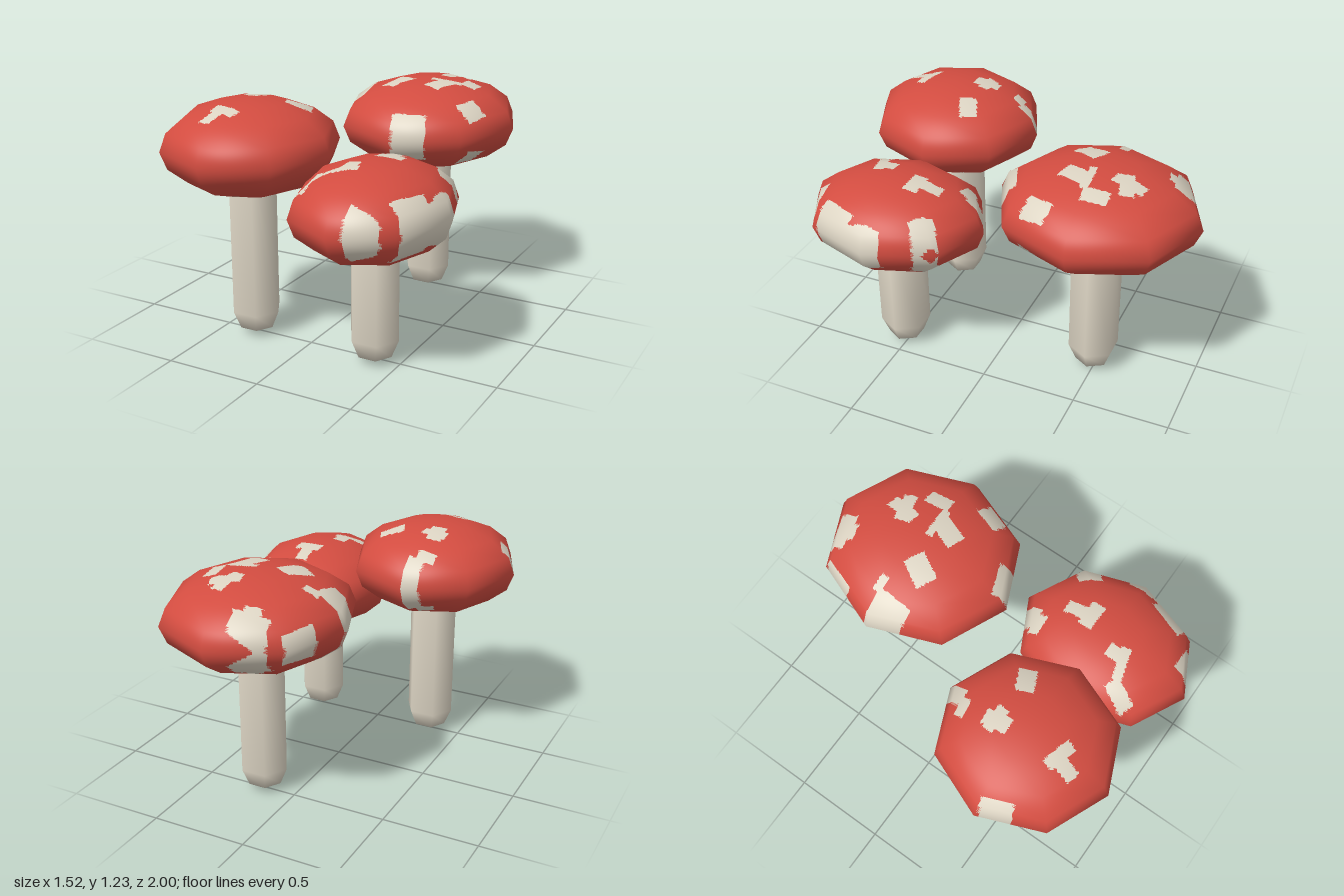
import * as THREE from 'three';

const red = new THREE.MeshStandardMaterial({ color: 0xd24c40 });
red.name = 'cap red';
const cream = new THREE.MeshStandardMaterial({ color: 0xdcd4c3 });
cream.name = 'cream';

// Spots are short strokes seen from above: x, z of both ends, then half the width
const tallSpots = [
  [-.36, 0, -.36, .16, .04], [-.45, .19, -.36, .18, .025],
  [-.44, .35, -.31, .36, .03], [-.385, .3, -.375, .43, .04],
  [-.19, .385, -.075, .335, .045],
  [-.42, .67, -.27, .71, .03], [-.36, .68, -.39, .8, .035],
  [-.737, .518, -.68, .663, .05],
];
const backSpots = [
  [-.08, -.845, .1, -.875, .05], [-.02, -.8, .06, -.82, .03],
  [-.17, -.84, -.235, -.66, .035],
  [-.31, -.41, -.14, -.41, .09], [-.16, -.51, -.08, -.505, .025],
  [0, -.32, .07, -.45, .055],
  [.19, -.62, .34, -.665, .035], [.265, -.73, .235, -.57, .035],
  [.39, -.6, .4, -.47, .04], [.2, -.458, .37, -.465, .02], [.25, -.325, .3, -.46, .05],
  [.48, -.22, .52, -.35, .045],
  [.185, 0, .345, -.06, .055],
];
const shortSpots = [
  [.255, 0, .255, .17, .05], [.18, .19, .28, .19, .028],
  [.375, .265, .38, .37, .035], [.32, .4, .46, .4, .037],
  [.575, .2, .65, .3, .05],
  [.74, .44, .74, .65, .05], [.695, .62, .62, .81, .045],
  [.29, .56, .29, .66, .035], [.19, .68, .345, .635, .025], [.115, .8, .17, .66, .037],
  [.505, .87, .505, 1, .075],
];

// Whether a point lies on a stroke with square ends
function onStroke([x1, z1, x2, z2, half], x, z) {
  const length = Math.hypot(x2 - x1, z2 - z1);
  const dx = (x2 - x1) / length, dz = (z2 - z1) / length;
  const along = (x - x1) * dx + (z - z1) * dz;
  const across = (x - x1) * dz - (z - z1) * dx;
  return along > 0 && along < length && Math.abs(across) < half;
}

// Low-poly ellipsoid whose flat faces are finely divided, so spots can be separate face groups
function capGeometry(centre, radii, spots, steps = 16) {
  const base = new THREE.SphereGeometry(1, 8, 8).scale(...radii).translate(...centre).toNonIndexed();
  const { position, normal } = base.attributes;
  const positions = [], normals = [], plain = [], spotted = [];
  const blend = (attribute, t, u, v) => {
    const p = new THREE.Vector3();
    [1 - u - v, u, v].forEach((w, k) => p.addScaledVector(new THREE.Vector3().fromBufferAttribute(attribute, t + k), w));
    return p;
  };
  for (let t = 0; t < position.count; t += 3) {
    const index = {};
    for (let i = 0; i <= steps; i++) {
      for (let j = 0; j <= steps - i; j++) {
        index[`${i},${j}`] = positions.length / 3;
        positions.push(...blend(position, t, i / steps, j / steps));
        normals.push(...blend(normal, t, i / steps, j / steps).normalize());
      }
    }
    const addFace = (...corners) => {
      const ids = corners.map(([i, j]) => index[`${i},${j}`]);
      const x = ids.reduce((sum, k) => sum + positions[3 * k], 0) / 3;
      const z = ids.reduce((sum, k) => sum + positions[3 * k + 2], 0) / 3;
      (spots.some((s) => onStroke(s, x, z)) ? spotted : plain).push(...ids);
    };
    for (let i = 0; i < steps; i++) {
      for (let j = 0; j < steps - i; j++) {
        addFace([i, j], [i + 1, j], [i, j + 1]);
        if (i + j < steps - 1) addFace([i + 1, j], [i + 1, j + 1], [i, j + 1]);
      }
    }
  }
  const geometry = new THREE.BufferGeometry();
  geometry.setAttribute('position', new THREE.Float32BufferAttribute(positions, 3));
  geometry.setAttribute('normal', new THREE.Float32BufferAttribute(normals, 3));
  geometry.setIndex(plain.concat(spotted));
  geometry.addGroup(0, plain.length, 0);
  geometry.addGroup(plain.length, spotted.length, 1);
  return geometry;
}

// Six-sided stem with a rounded foot, ending inside the cap
function stemGeometry(top) {
  const profile = [[0, 0], [0.092, 0.038], [0.13, 0.13], [0.13, top - 0.05], [0, top]];
  return new THREE.LatheGeometry(profile.map(([x, y]) => new THREE.Vector2(x, y)), 6, Math.PI / 2);
}

function createMushroom(name, centre, radii, spots) {
  const mushroom = new THREE.Group();
  mushroom.name = name;
  const cap = new THREE.Mesh(capGeometry(centre, radii, spots), [red, cream]);
  cap.name = 'cap';
  const stem = new THREE.Mesh(stemGeometry(centre[1]), cream);
  stem.name = 'stem';
  stem.position.set(centre[0], 0, centre[2]);
  mushroom.add(cap, stem);
  return mushroom;
}

export function createModel() {
  const model = new THREE.Group();
  model.name = 'mushrooms';
  model.add(
    createMushroom('tallMushroom', [-0.32, 0.995, 0.508], [0.443, 0.235, 0.457], tallSpots),
    createMushroom('backMushroom', [0.18, 0.965, -0.485], [0.478, 0.235, 0.515], backSpots),
    createMushroom('shortMushroom', [0.37, 0.785, 0.52], [0.392, 0.235, 0.475], shortSpots),
  );
  return model;
}
